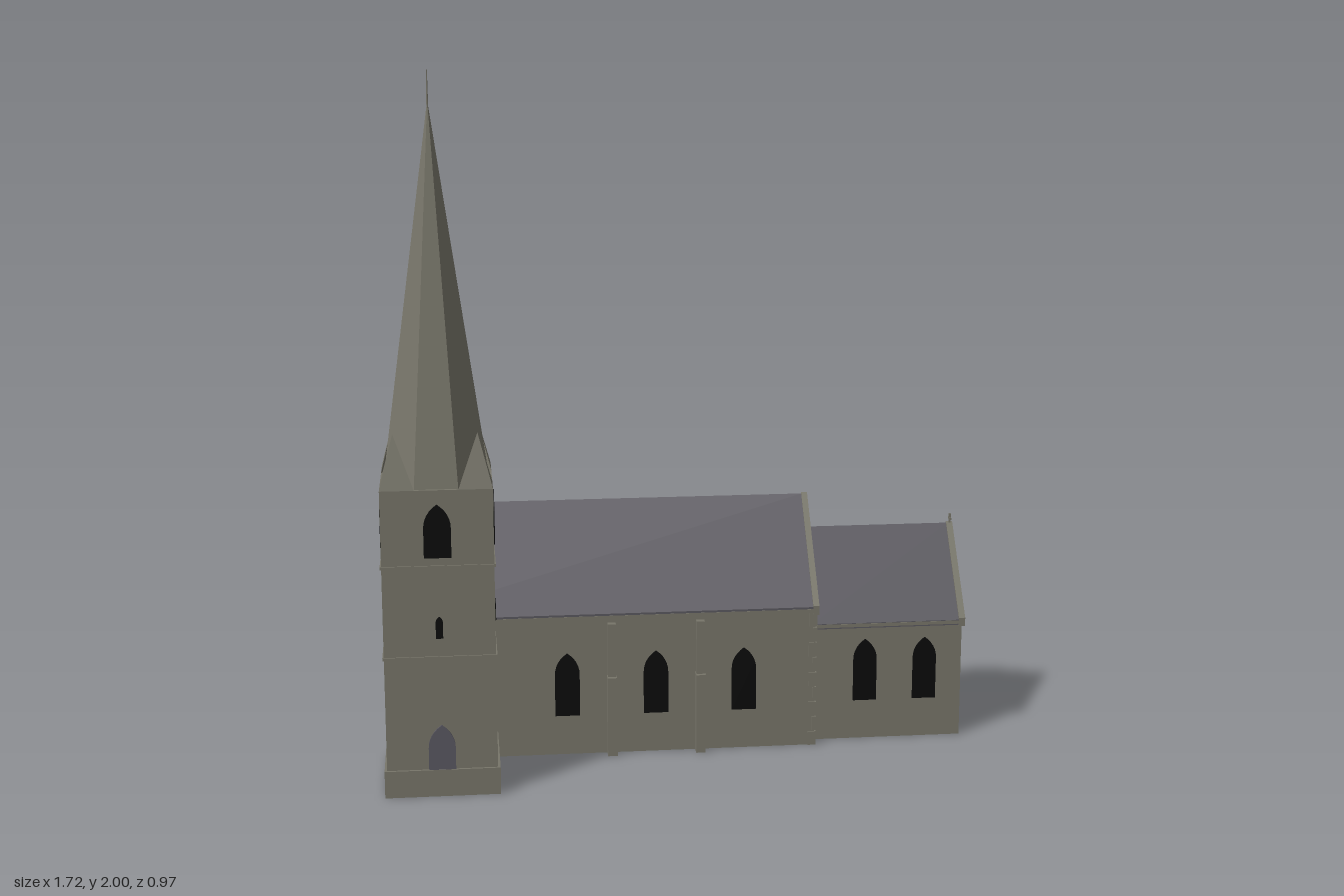
import * as THREE from 'three';

const mat = (name, color, extra = {}) => Object.assign(new THREE.MeshStandardMaterial({ color, ...extra }), { name });

export function createModel() {
  const stone = mat('stone', 0x78766a);
  const slate = mat('slate', 0x5a585f);
  const glass = mat('darkGlass', 0x0b0b0b);
  const doorPaint = mat('doorGrey', 0x5a5862);
  const model = new THREE.Group();
  model.name = 'church';

  const add = (name, geometry, material, parent = model) => {
    const mesh = new THREE.Mesh(geometry, material);
    mesh.name = name;
    parent.add(mesh);
    return mesh;
  };

  // Box given by its extents
  const box = (name, x0, x1, y0, y1, z0, z1, material = stone) => {
    const m = add(name, new THREE.BoxGeometry(x1 - x0, y1 - y0, z1 - z0), material);
    m.position.set((x0 + x1) / 2, (y0 + y1) / 2, (z0 + z1) / 2);
    return m;
  };

  // Outline of [z, y] points extruded along x
  const prism = (name, points, x0, x1, material = stone) => {
    const shape = new THREE.Shape(points.map(([z, y]) => new THREE.Vector2(-z, y)));
    const g = new THREE.ExtrudeGeometry(shape, { depth: x1 - x0, bevelEnabled: false });
    g.rotateY(Math.PI / 2).translate(x0, 0, 0);
    return add(name, g, material);
  };

  // Thin pointed-arch plate; angle 0 faces +z, PI/2 faces +x
  const lancet = (name, x, y, z, w, h, angle, material = glass) => {
    const r = w / 2, spring = h - w * 0.9;
    const s = new THREE.Shape();
    s.moveTo(-r, 0);
    s.lineTo(r, 0);
    s.lineTo(r, spring);
    s.quadraticCurveTo(r, spring + w * 0.55, 0, h);
    s.quadraticCurveTo(-r, spring + w * 0.55, -r, spring);
    const g = new THREE.ExtrudeGeometry(s, { depth: 0.008, bevelEnabled: false, curveSegments: 6 });
    g.translate(0, 0, -0.003);
    const m = add(name, g, material);
    m.position.set(x, y, z);
    m.rotation.y = angle;
  };

  const RIDGE = -0.022;
  const gabled = (z0, z1, eave, ridge) => [[z0, 0], [z1, 0], [z1, eave], [RIDGE, ridge], [z0, eave]];
  // Chevron whose upper surface runs from both eaves to the ridge
  const chevron = (z0, z1, eave, ridge, t) =>
    [[z0, eave], [RIDGE, ridge], [z1, eave], [z1, eave - t], [RIDGE, ridge - t], [z0, eave - t]];

  // Nave
  prism('naveWalls', gabled(-0.245, 0.205, 0.432, 0.698), -0.835, 0.398);
  prism('naveRoof', chevron(-0.262, 0.216, 0.43, 0.713, 0.018), -0.826, 0.39, slate);
  for (const [x0, x1] of [[-0.845, -0.825], [0.388, 0.406]])
    prism('naveCoping', chevron(-0.264, 0.218, 0.434, 0.717, 0.028), x0, x1);
  box('naveGutter', -0.82, 0.39, 0.412, 0.424, 0.2, 0.217);
  for (const x of [-0.335, -0.075, 0.185]) lancet('naveWindow', x, 0.12, 0.205, 0.072, 0.19, 0);
  for (const x of [-0.56, -0.35, -0.14, 0.07]) lancet('clerestoryWindow', x, 0.345, -0.245, 0.045, 0.065, Math.PI);
  lancet('westWindow', -0.835, 0.13, RIDGE, 0.14, 0.32, -Math.PI / 2);

  // Stepped buttresses
  for (const x of [-0.205, 0.055]) {
    box('buttressUpper', x - 0.012, x + 0.012, 0, 0.4, 0.2, 0.225);
    box('buttressLower', x - 0.014, x + 0.014, 0, 0.24, 0.2, 0.237);
  }

  // Alternating corner stones on the east end of the nave
  for (let i = 0; i < 9; i++) {
    const l = i % 2 ? 0.012 : 0.024;
    for (const side of [1, -1]) {
      const z = side > 0 ? 0.209 : -0.249;
      const inner = z - side * l;
      box('cornerStone', 0.402 - l, 0.402, i * 0.046, i * 0.046 + 0.042, Math.min(z, inner), Math.max(z, inner));
    }
  }

  // Chancel
  prism('chancelWalls', gabled(-0.205, 0.165, 0.365, 0.596), 0.39, 0.847);
  prism('chancelRoof', chevron(-0.22, 0.172, 0.362, 0.609, 0.016), 0.39, 0.84, slate);
  prism('chancelCoping', chevron(-0.222, 0.174, 0.368, 0.614, 0.026), 0.836, 0.855);
  box('chancelGutter', 0.4, 0.845, 0.35, 0.36, 0.16, 0.174);
  for (const x of [0.555, 0.735]) {
    lancet('chancelWindow', x, 0.12, 0.165, 0.07, 0.19, 0);
    lancet('chancelWindow', x, 0.12, -0.205, 0.07, 0.19, Math.PI);
  }
  lancet('eastWindow', 0.847, 0.112, RIDGE, 0.158, 0.35, Math.PI / 2);
  box('gableCrossPost', 0.844, 0.85, 0.6, 0.638, RIDGE - 0.003, RIDGE + 0.003);
  box('gableCrossArm', 0.844, 0.85, 0.62, 0.626, RIDGE - 0.01, RIDGE + 0.01);

  // Lean-to aisle with an open gap under its roof
  box('aisleWalls', -0.815, 0.38, 0, 0.27, -0.47, -0.24);
  prism('aisleRoof', [[-0.24, 0.358], [-0.487, 0.282], [-0.487, 0.273], [-0.24, 0.349]], -0.825, 0.39, slate);
  for (const x of [-0.605, -0.345, -0.08, 0.18]) lancet('aisleWindow', x, 0.1, -0.47, 0.072, 0.15, Math.PI);

  // Tower
  const cx = -0.7, cz = 0.325, half = 0.154, top = 0.88;
  const square = (name, r, y0, y1) => box(name, cx - r, cx + r, y0, y1, cz - r, cz + r);
  square('towerShaft', half, 0, top);
  square('towerPlinth', 0.161, 0, 0.078);
  for (const y of [0.4, 0.66]) square('stringCourse', half + 0.004, y, y + 0.008);
  for (let i = 0; i < 4; i++) {
    const a = i * Math.PI / 2;
    const x = cx + Math.sin(a) * half, z = cz + Math.cos(a) * half;
    lancet('belfryOpening', x, 0.69, z, 0.075, 0.15, a);
    if (i !== 2) lancet('slitWindow', x, 0.46, z, 0.02, 0.062, a);
  }
  lancet('door', cx, 0.078, cz + half, 0.075, 0.13, 0, doorPaint);

  // Eight-sided spire and needle
  const spire = new THREE.ConeGeometry(0.157, 1.04, 8, 1, false, Math.PI / 8).toNonIndexed();
  spire.computeVertexNormals();
  add('spire', spire, stone).position.set(cx, top + 0.52, cz);
  const needle = add('needle', new THREE.CylinderGeometry(0.0015, 0.003, 0.1, 6), stone);
  needle.position.set(cx, 1.95, cz);

  // Three-sided corner pinnacles
  const p = new THREE.BufferGeometry();
  const A = [half, 0, half], B = [0.06, 0, half], C = [half, 0, 0.06], T = [0.115, 0.15, 0.115];
  p.setAttribute('position', new THREE.Float32BufferAttribute([B, A, T, A, C, T, C, B, T].flat(), 3));
  p.computeVertexNormals();
  for (let i = 0; i < 4; i++) {
    const m = add('pinnacle', p, stone);
    m.position.set(cx, top, cz);
    m.rotation.y = i * Math.PI / 2;
  }

  return model;
}
